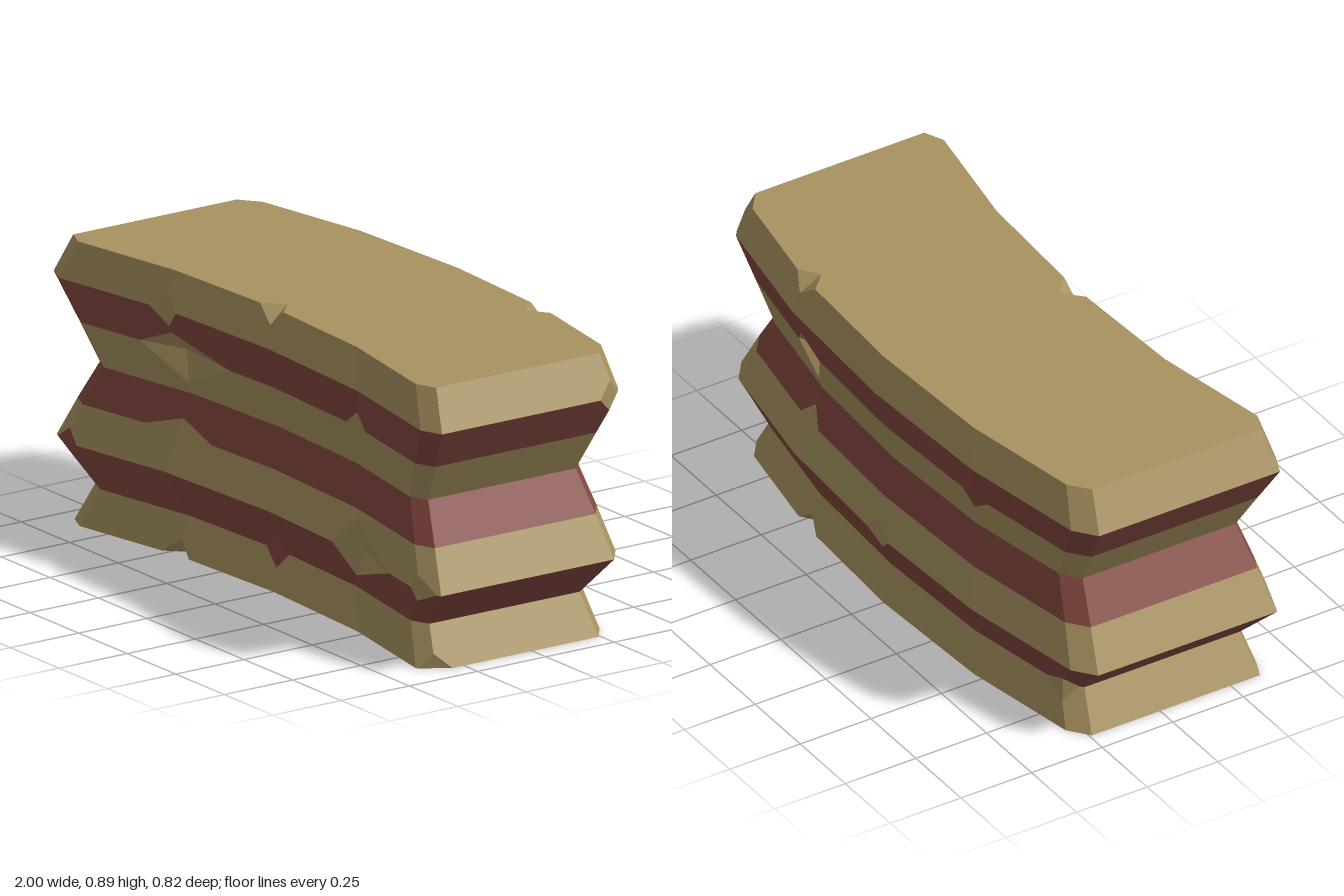
import * as THREE from 'three';

const TAN = 0xa89260, RED = 0x854840;

// Half outline of the curved wall, front then back (x, z)
const front = [[0, 0.31], [0.5, 0.335], [0.93, 0.41], [1, 0.38]];
const back = [[1, -0.26], [0.93, -0.315], [0.5, -0.39], [0, -0.415]];
const flip = ([x, z]) => [-x, z];
const outline = [
  ...front.slice(1).reverse().map(flip), ...front,
  ...back, ...back.slice(0, 3).reverse().map(flip),
];
const N = outline.length;

// Height and scale of the outline at each joint between layers
const levels = [
  [0, 0.93], [0.127, 0.86], [0.255, 0.99], [0.383, 0.92],
  [0.51, 0.845], [0.638, 0.922], [0.765, 1], [0.89, 0.935],
];
const TOP = levels.length - 1;

// Chipped corners: level, column, colour, reach [left, right, up, down], depth
const small = [0.06, 0.06, 0.055, 0.055];
const chips = [
  // front
  [7, 3, TAN, small], [6, 2, TAN, small], [5, 4, TAN, small], [1, 3, RED, small],
  [0, 2, TAN, small], [2, 1, RED, small], [2, 5, TAN, small], [0, 6, TAN, small],
  [3, 2, TAN, [0.14, 0.16, 0.05, 0.02]],
  [5, 2, TAN, [0.16, 0.25, 0.06, 0.1], 0.035],
  [2, 4, TAN, [0.14, 0.22, 0.1, 0.1], 0.03],
  // back
  [7, 9, TAN, small], [6, 7, TAN, small], [5, 11, RED, small], [2, 10, TAN, small],
  [0, 9, TAN, small], [1, 12, TAN, small], [3, 9, TAN, [0.06, 0.06, 0.07, 0.03]],
  [5, 9, TAN, [0.07, 0.07, 0.06, 0.1], 0.06],
];

const corner = (row, col) => {
  const [x, z] = outline[(col + N) % N], [y, s] = levels[row];
  return new THREE.Vector3(x * s, y, z * s);
};

// The four points that replace a chipped corner
const cuts = new Map();
for (const [row, col, color, reach, depth = 0] of chips) {
  const v = corner(row, col);
  const inward = new THREE.Vector3(v.x * 0.95, v.y, 0);
  const toward = [
    corner(row, col - 1), corner(row, col + 1),
    row === TOP ? inward : corner(row + 1, col),
    row === 0 ? inward : corner(row - 1, col),
  ];
  const [L, R, U, D] = toward.map((p, i) => p.clone().sub(v).setLength(reach[i]).add(v));
  cuts.set(row + ':' + col, { v, L, R, U, D, color, depth });
}

// Points of one corner, in order; a chipped corner gives its listed cut points
function pointsAt(row, col, ...keys) {
  const cut = cuts.get(row + ':' + (col % N));
  return cut ? keys.map(k => cut[k]) : [corner(row, col)];
}

function makeMesh(name, color, tris) {
  const geometry = new THREE.BufferGeometry().setFromPoints(tris);
  geometry.computeVertexNormals();
  const mesh = new THREE.Mesh(geometry, new THREE.MeshStandardMaterial({ color, flatShading: true }));
  mesh.name = name;
  return mesh;
}

// Flat end of the wall, following its chipped rim
function capTriangles(row) {
  const isTop = row === TOP, tris = [];
  const rim = outline.flatMap((_, c) => pointsAt(row, c, 'L', isTop ? 'U' : 'D', 'R'));
  const flat = rim.map(p => new THREE.Vector2(p.x, -p.z));
  for (const [a, b, c] of THREE.ShapeUtils.triangulateShape(flat, [])) {
    const ab = flat[b].clone().sub(flat[a]), ac = flat[c].clone().sub(flat[a]);
    const up = ab.cross(ac) > 0;
    tris.push(rim[a], ...(up === isTop ? [rim[b], rim[c]] : [rim[c], rim[b]]));
  }
  return tris;
}

// Sloping band between two levels
function bandTriangles(row) {
  const tris = [];
  for (let c = 0; c < N; c++) {
    const poly = [
      ...pointsAt(row, c, 'U', 'R'), ...pointsAt(row, c + 1, 'L', 'U'),
      ...pointsAt(row + 1, c + 1, 'D', 'L'), ...pointsAt(row + 1, c, 'R', 'D'),
    ];
    for (let i = 1; i < poly.length - 1; i++) tris.push(poly[0], poly[i], poly[i + 1]);
  }
  return tris;
}

// Exposed faces inside a chip; deep ones sink to a point
function chipTriangles({ v, L, R, U, D, depth }) {
  if (!depth) return [L, D, U, D, R, U];
  const pit = v.clone();
  pit.z -= Math.sign(v.z) * depth;
  return [L, D, pit, D, R, pit, R, U, pit, U, L, pit];
}

export function createModel() {
  const group = new THREE.Group();
  group.name = 'layeredRockWall';

  // Alternating strata
  for (let row = 0; row < TOP; row++) {
    const tris = bandTriangles(row);
    if (row === 0) tris.push(...capTriangles(0));
    if (row === TOP - 1) tris.push(...capTriangles(TOP));
    group.add(makeMesh('layer' + (row + 1), row % 2 ? RED : TAN, tris));
  }

  // Chips and gouges
  const chipGroup = new THREE.Group();
  chipGroup.name = 'chips';
  for (const cut of cuts.values()) chipGroup.add(makeMesh('chip', cut.color, chipTriangles(cut)));
  group.add(chipGroup);
  return group;
}
